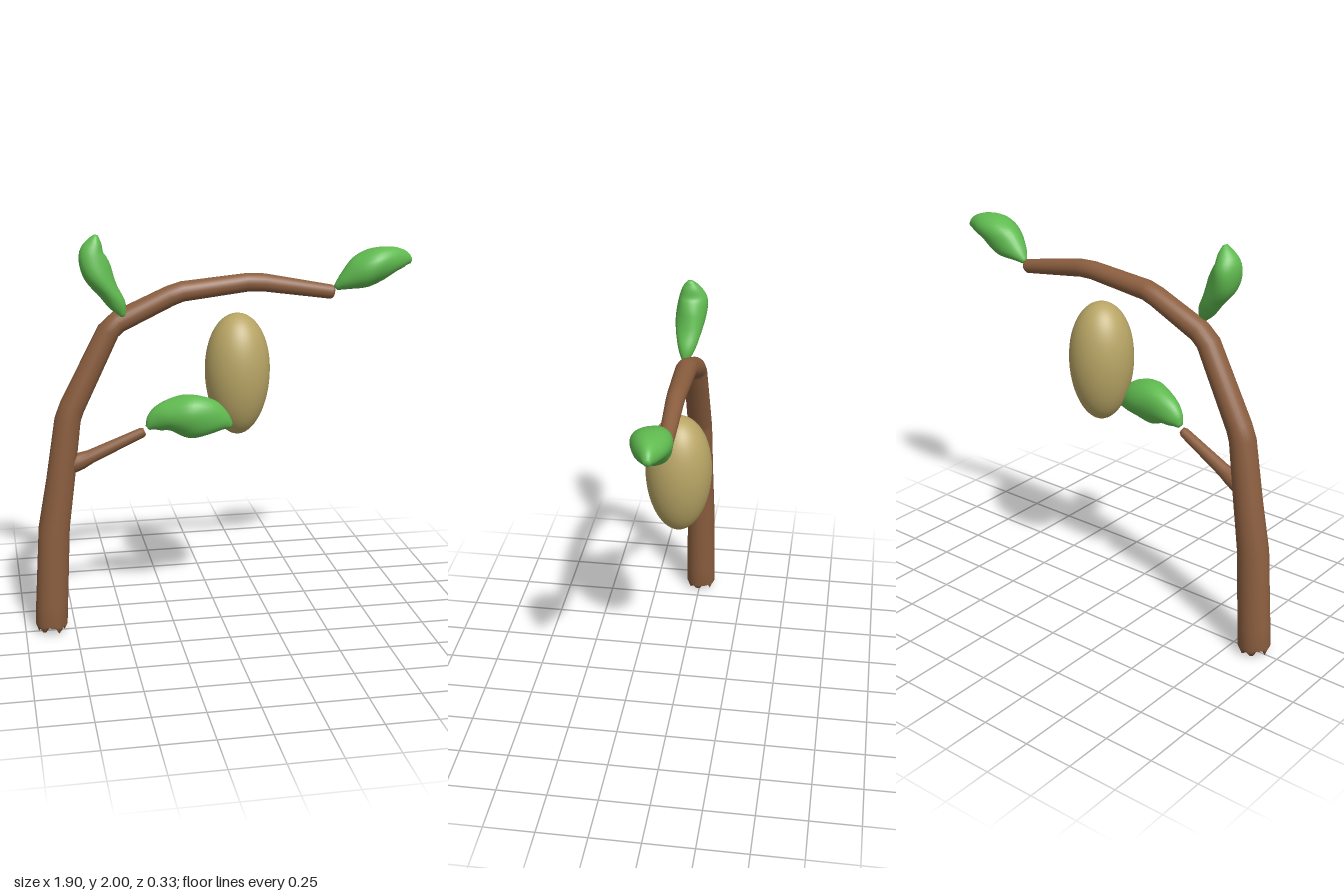
import * as THREE from 'three';

// Closed tube through stations [x, y, z, half width in the xy plane, half width across]
function loft(stations, sides, shape = () => 1) {
  const pos = [], index = [], n = stations.length;
  stations.forEach(([x, y, z, a, b], i) => {
    const p = stations[Math.max(i - 1, 0)], q = stations[Math.min(i + 1, n - 1)];
    const t = new THREE.Vector2(q[0] - p[0], q[1] - p[1]).normalize();
    for (let j = 0; j < sides; j++) {
      const th = (j / sides) * Math.PI * 2, k = shape(th, i / (n - 1));
      const u = a * k * Math.cos(th), w = b * k * Math.sin(th);
      pos.push(x - t.y * u, y + t.x * u, z + w);
    }
  });
  for (let i = 0; i < n - 1; i++) {
    for (let j = 0; j < sides; j++) {
      const a = i * sides + j, b = i * sides + (j + 1) % sides;
      index.push(a, b, a + sides, b, b + sides, a + sides);
    }
  }
  // End caps
  const s = stations[0], e = stations[n - 1], c0 = n * sides, last = (n - 1) * sides;
  pos.push(s[0], s[1], s[2], e[0], e[1], e[2]);
  for (let j = 0; j < sides; j++) {
    const k = (j + 1) % sides;
    index.push(c0, k, j, c0 + 1, last + j, last + k);
  }
  const g = new THREE.BufferGeometry();
  g.setAttribute('position', new THREE.Float32BufferAttribute(pos, 3));
  g.setIndex(index);
  g.computeVertexNormals();
  return g;
}

// Smoothly resampled stations
function smooth(stations, count) {
  const curve = (f) => new THREE.CatmullRomCurve3(stations.map(f), false, 'catmullrom');
  const centre = curve((s) => new THREE.Vector3(s[0], s[1], s[2]));
  const size = curve((s) => new THREE.Vector3(s[3], s[4], 0));
  return Array.from({ length: count + 1 }, (_, i) => {
    const c = centre.getPoint(i / count), r = size.getPoint(i / count);
    return [c.x, c.y, c.z, Math.max(r.x, 0.004), Math.max(r.y, 0.004)];
  });
}

export function createModel() {
  const bark = new THREE.MeshStandardMaterial({ name: 'barkBrown', color: 0x8b5e3f });
  const green = new THREE.MeshStandardMaterial({ name: 'leafGreen', color: 0x60bb50 });
  const tan = new THREE.MeshStandardMaterial({ name: 'cocoonTan', color: 0xb8a565 });
  const model = new THREE.Group();
  model.name = 'branchWithCocoon';
  const add = (name, geometry, material) => {
    const m = new THREE.Mesh(geometry, material);
    m.name = name;
    model.add(m);
    return m;
  };

  // Arching main branch, thick at the foot
  const branch = loft([
    [-0.87, 0.012, -0.005, 0.065, 0.065], [-0.87, 0.04, -0.005, 0.08, 0.08],
    [-0.864, 0.15, -0.005, 0.08, 0.079], [-0.84, 0.55, -0.005, 0.077, 0.075],
    [-0.8, 0.8, -0.005, 0.07, 0.07],
    [-0.757, 1.1, -0.005, 0.064, 0.066], [-0.735, 1.16, -0.005, 0.062, 0.064],
    [-0.55, 1.53, -0.005, 0.055, 0.06], [-0.5, 1.575, -0.005, 0.054, 0.058],
    [-0.25, 1.69, -0.005, 0.05, 0.053], [-0.19, 1.71, -0.005, 0.049, 0.052],
    [0.13, 1.743, -0.008, 0.045, 0.045], [0.21, 1.74, -0.008, 0.044, 0.043],
    [0.55, 1.682, -0.01, 0.035, 0.034], [0.562, 1.68, -0.01, 0.027, 0.027],
  ], 24);
  // Broken notches in the foot
  const p = branch.attributes.position;
  for (let j = 0; j < 24; j++) p.setY(j, [0, 0.012, 0.025, 0.008, 0.012, 0.035, 0.055, 0.03][j % 8]);
  p.setY(p.count - 2, 0.06);
  branch.computeVertexNormals();
  add('mainBranch', branch, bark);

  // Side twig
  add('twig', loft([
    [-0.78, 0.86, -0.01, 0.05, 0.05], [-0.7, 0.888, 0, 0.043, 0.04], [-0.65, 0.91, 0.005, 0.034, 0.034],
    [-0.4, 1.025, 0.03, 0.025, 0.025], [-0.386, 1.031, 0.031, 0.018, 0.018],
  ], 16), bark);

  // Plump, slightly lumpy leaves
  const lumps = (th, t) => 1 + 0.045 * Math.sin(3 * th + 9 * t) * Math.sin(Math.PI * t);
  const leaves = {
    upperLeaf: [
      [-0.48, 1.61, 0.04, 0.012, 0.012], [-0.505, 1.665, 0.035, 0.04, 0.04], [-0.55, 1.735, 0.03, 0.05, 0.062],
      [-0.6, 1.82, 0.025, 0.07, 0.076], [-0.622, 1.9, 0.02, 0.062, 0.072],
      [-0.61, 1.96, 0.025, 0.038, 0.045], [-0.6, 1.997, 0.03, 0.01, 0.015],
    ],
    tipLeaf: [
      [0.572, 1.7, -0.01, 0.014, 0.014], [0.62, 1.733, 0, 0.045, 0.05], [0.69, 1.773, 0.01, 0.08, 0.082],
      [0.765, 1.815, 0.012, 0.083, 0.092], [0.84, 1.835, 0.01, 0.066, 0.075],
      [0.91, 1.835, 0.005, 0.042, 0.038], [0.947, 1.825, 0.002, 0.014, 0.014],
    ],
    lowerLeaf: [
      [-0.372, 1.05, 0.035, 0.014, 0.015], [-0.335, 1.08, 0.04, 0.052, 0.042], [-0.27, 1.108, 0.055, 0.078, 0.07],
      [-0.18, 1.113, 0.075, 0.107, 0.088], [-0.09, 1.105, 0.08, 0.095, 0.08],
      [-0.015, 1.082, 0.08, 0.06, 0.052], [0.034, 1.052, 0.08, 0.015, 0.018],
    ],
  };
  for (const [name, stations] of Object.entries(leaves)) add(name, loft(smooth(stations, 30), 28, lumps), green);

  // Egg-shaped cocoon, a little fuller above the middle
  const profile = Array.from({ length: 33 }, (_, i) => {
    const a = (i / 32) * Math.PI;
    return new THREE.Vector2(Math.max(0.16 * Math.sin(a), 0), -0.304 * Math.cos(a) + 0.022 * Math.sin(a) ** 2);
  });
  add('cocoon', new THREE.LatheGeometry(profile, 40), tan).position.set(0.082, 1.29, -0.008);

  return model;
}
